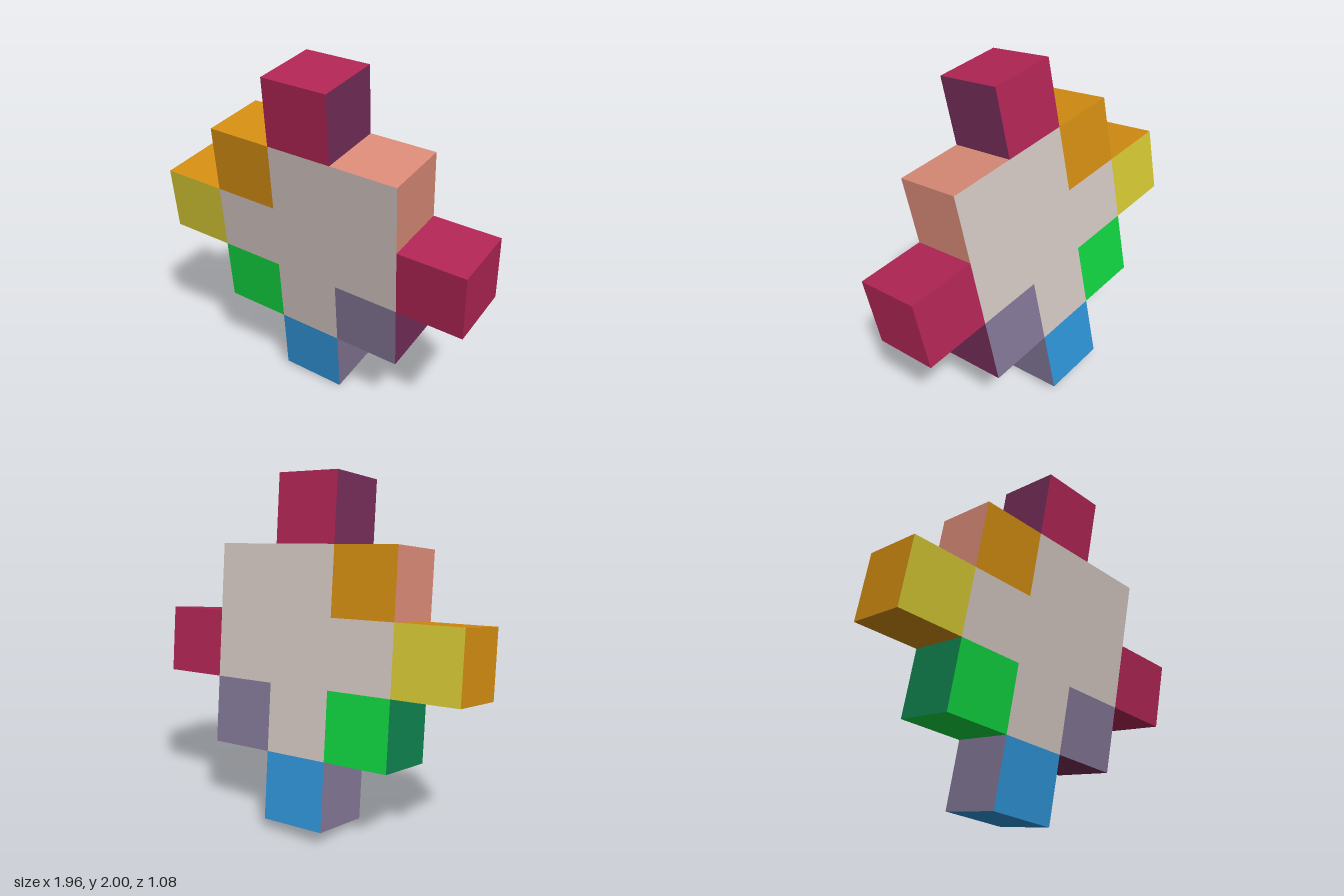
import * as THREE from 'three';

const SIZE = 0.3886;

const COLORS = {
  stone: 0xd4c8c3, crimson: 0xb22555, orange: 0xd48e12, yellow: 0xd6c834, green: 0x10d540,
  lavender: 0x837796, blue: 0x2f95da, salmon: 0xdc8c78, plum: 0x772e5a, teal: 0x108450,
};

// Each block: name, column, row, then the colours of its
// right (+x), left (-x), top, bottom and front/back faces; null = hidden joint.
const BLOCKS = [
  ['topBlock', 0, 2, 'plum', 'plum', 'crimson', null, 'crimson'],
  ['upperRightBlock', -1, 1, null, 'salmon', 'orange', null, 'orange'],
  ['upperCentreBlock', 0, 1, null, null, null, null, 'stone'],
  ['upperLeftBlock', 1, 1, 'salmon', null, 'salmon', null, 'stone'],
  ['rightEndBlock', -2, 0, null, 'orange', 'orange', 'orange', 'yellow'],
  ['middleRightBlock', -1, 0, null, null, null, null, 'stone'],
  ['centreBlock', 0, 0, null, null, null, null, 'stone'],
  ['middleLeftBlock', 1, 0, null, null, null, null, 'stone'],
  ['leftEndBlock', 2, 0, 'crimson', null, 'crimson', 'crimson', 'crimson'],
  ['lowerRightBlock', -1, -1, null, 'teal', null, 'green', 'green'],
  ['lowerCentreBlock', 0, -1, null, null, null, null, 'stone'],
  ['lowerLeftBlock', 1, -1, 'plum', null, null, 'plum', 'lavender'],
  ['bottomBlock', 0, -2, 'lavender', 'lavender', null, 'blue', 'blue'],
];

// Cube that keeps only its outer faces, one material group per face
function blockGeometry(faces) {
  const geometry = new THREE.BoxGeometry(SIZE, SIZE, SIZE);
  const source = Array.from(geometry.index.array);
  const index = [];
  geometry.clearGroups();
  faces.forEach((face, i) => {
    if (!face) return;
    geometry.addGroup(index.length, 6, index.length / 6);
    index.push(...source.slice(i * 6, i * 6 + 6));
  });
  geometry.setIndex(index);
  return geometry;
}

export function createModel() {
  const materials = {};
  for (const [name, color] of Object.entries(COLORS)) {
    materials[name] = new THREE.MeshStandardMaterial({ color });
    materials[name].name = name;
  }

  // Diamond of cubes, tipped forward and turned to one side
  const diamond = new THREE.Group();
  diamond.name = 'blockDiamond';
  for (const [name, column, row, right, left, top, bottom, face] of BLOCKS) {
    const faces = [right, left, top, bottom, face, face];
    const block = new THREE.Mesh(blockGeometry(faces), faces.filter(Boolean).map((c) => materials[c]));
    block.name = name;
    block.position.set(column * SIZE, row * SIZE, 0);
    diamond.add(block);
  }
  diamond.rotation.set(THREE.MathUtils.degToRad(10), THREE.MathUtils.degToRad(-20), 0);
  diamond.position.y = 1;

  const model = new THREE.Group();
  model.name = 'model';
  model.add(diamond);
  return model;
}
